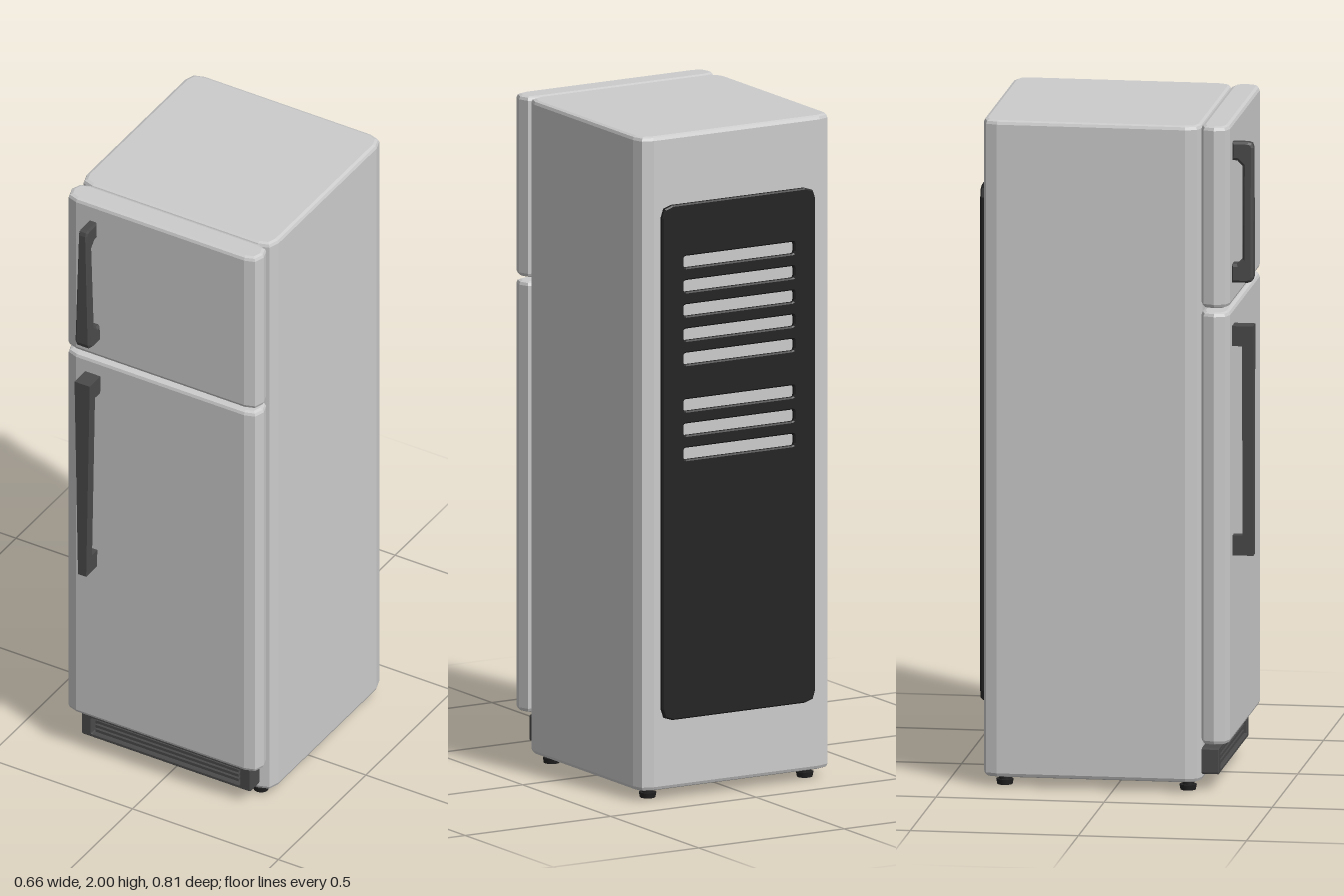
import * as THREE from 'three';

const grey = new THREE.MeshStandardMaterial({ color: 0xcccccc });
const dark = new THREE.MeshStandardMaterial({ color: 0x222222 });
const trim = new THREE.MeshStandardMaterial({ color: 0x4a4a4a });

function add(parent, name, geometry, material, x = 0, y = 0, z = 0) {
  const mesh = new THREE.Mesh(geometry, material);
  mesh.name = name;
  mesh.position.set(x, y, z);
  parent.add(mesh);
  return mesh;
}

// Rectangle with rounded corners, centred on (cx, cy)
function roundedRect(w, h, r, cx = 0, cy = 0, Type = THREE.Shape) {
  const s = new Type(), a = w / 2, b = h / 2;
  s.moveTo(cx - a + r, cy - b);
  s.lineTo(cx + a - r, cy - b);
  s.quadraticCurveTo(cx + a, cy - b, cx + a, cy - b + r);
  s.lineTo(cx + a, cy + b - r);
  s.quadraticCurveTo(cx + a, cy + b, cx + a - r, cy + b);
  s.lineTo(cx - a + r, cy + b);
  s.quadraticCurveTo(cx - a, cy + b, cx - a, cy + b - r);
  s.lineTo(cx - a, cy - b + r);
  s.quadraticCurveTo(cx - a, cy - b, cx - a + r, cy - b);
  return s;
}

// Extrusion whose bevel stays inside the outline and the given depth
function extrude(shape, depth, bevel, segments = 1) {
  return new THREE.ExtrudeGeometry(shape, {
    depth: depth - 2 * bevel, curveSegments: 2, bevelEnabled: bevel > 0,
    bevelSize: bevel, bevelThickness: bevel, bevelOffset: -bevel, bevelSegments: segments,
  }).translate(0, 0, bevel);
}

// Upright cabinet block with rounded vertical corners
function block(y0, y1, z0, z1, r) {
  return extrude(roundedRect(0.66, z1 - z0, r), y1 - y0, 0.012, 2)
    .rotateX(-Math.PI / 2).translate(0, y0, (z0 + z1) / 2);
}

// C-shaped handle that tapers in width from wBottom to wTop
function handle(y0, y1, foot, wBottom, wTop, round, bevel) {
  const back = 0.34, inner = 0.373, front = 0.405;
  const s = new THREE.Shape();
  s.moveTo(back, y0);
  s.lineTo(front - round, y0);
  s.quadraticCurveTo(front, y0, front, y0 + round);
  s.lineTo(front, y1 - round);
  s.quadraticCurveTo(front, y1, front - round, y1);
  s.lineTo(back, y1);
  s.lineTo(back, y1 - foot);
  s.lineTo(inner - round, y1 - foot);
  s.lineTo(inner, y1 - foot - round);
  s.lineTo(inner, y0 + foot + round);
  s.lineTo(inner - round, y0 + foot);
  s.lineTo(back, y0 + foot);
  const g = extrude(s, 0.05, bevel).translate(0, 0, -0.025).rotateY(-Math.PI / 2);
  const p = g.attributes.position;
  for (let i = 0; i < p.count; i++) {
    const t = (p.getY(i) - y0) / (y1 - y0);
    p.setX(i, p.getX(i) * THREE.MathUtils.lerp(wBottom, wTop, t) / 0.05);
  }
  g.computeVertexNormals();
  return g;
}

export function createModel() {
  const model = new THREE.Group();
  model.name = 'refrigerator';

  // Cabinet and doors
  add(model, 'cabinet', block(0.03, 2, -0.39, 0.26, 0.045), grey);
  add(model, 'freezerDoor', block(1.455, 2, 0.258, 0.343, 0.042), grey);
  add(model, 'fridgeDoor', block(0.145, 1.442, 0.258, 0.343, 0.042), grey);

  // Handles, on the right side of the doors
  add(model, 'freezerHandle', handle(1.52, 1.94, 0.055, 0.054, 0.028, 0.016, 0.007), trim, -0.23);
  add(model, 'fridgeHandle', handle(0.7, 1.39, 0.06, 0.028, 0.052, 0, 0), trim, -0.23);

  // Kick grille: frame, recessed back and slats
  const grille = new THREE.Group();
  grille.name = 'kickGrille';
  model.add(grille);
  const frame = roundedRect(0.58, 0.08, 0.006);
  frame.holes.push(roundedRect(0.51, 0.054, 0.003, 0, 0, THREE.Path));
  add(grille, 'grilleFrame', extrude(frame, 0.055, 0.003), trim, 0, 0.09, 0.255);
  add(grille, 'grilleBack', new THREE.BoxGeometry(0.53, 0.06, 0.025), trim, 0, 0.09, 0.27);
  for (let i = -1; i <= 1; i++) {
    add(grille, 'grilleSlat', new THREE.BoxGeometry(0.49, 0.009, 0.022), trim, 0, 0.09 + i * 0.016, 0.293);
  }

  // Rear panel with two groups of vent slots
  const panel = roundedRect(0.526, 1.55, 0.035, 0, 1.015);
  const slots = [1.615, 1.542, 1.469, 1.396, 1.323, 1.183, 1.11, 1.037];
  for (const y of slots) panel.holes.push(roundedRect(0.38, 0.036, 0.008, 0, y, THREE.Path));
  add(model, 'rearPanel', extrude(panel, 0.017, 0.004), dark, 0, 0, -0.405);

  // Feet
  for (const x of [-0.27, 0.27]) {
    for (const z of [-0.33, 0.215]) {
      add(model, 'footPad', new THREE.CylinderGeometry(0.026, 0.023, 0.016, 12), dark, x, 0.008, z);
      add(model, 'footStem', new THREE.CylinderGeometry(0.017, 0.017, 0.024, 12), dark, x, 0.024, z);
    }
  }
  return model;
}
